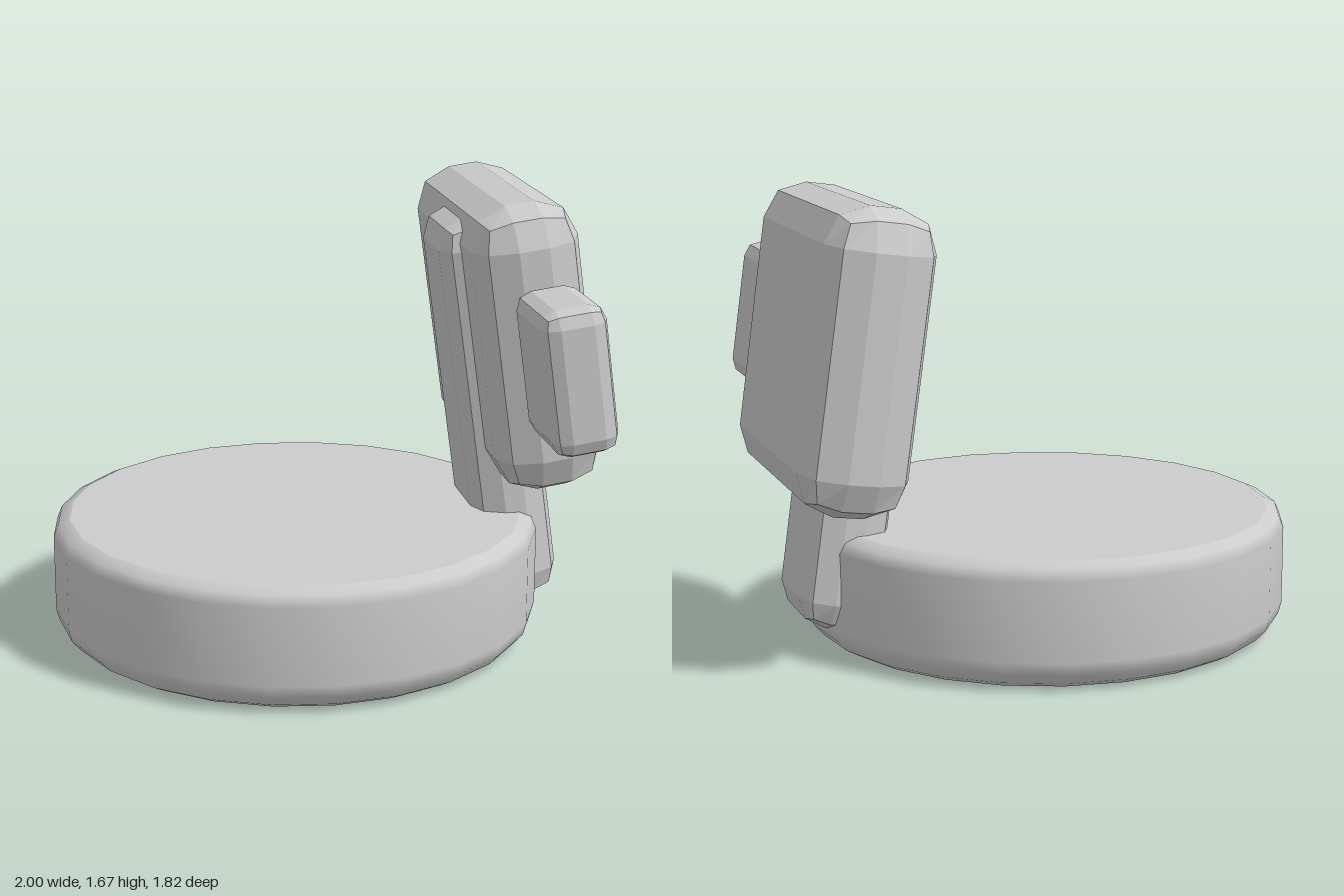
import * as THREE from 'three';
import { RoundedBoxGeometry } from 'three/addons/geometries/RoundedBoxGeometry.js';

const TILT = THREE.MathUtils.degToRad(8);

// Box with two-facet bevels, leaning towards the seat
function bevelledSlab(name, size, position, bevel) {
  const geometry = new RoundedBoxGeometry(...size, 1, bevel);
  const material = new THREE.MeshStandardMaterial({ color: 0xcccccc, flatShading: true });
  const mesh = new THREE.Mesh(geometry, material);
  mesh.name = name;
  mesh.position.set(...position);
  mesh.rotation.z = TILT;
  return mesh;
}

export function createModel() {
  const group = new THREE.Group();
  group.name = 'roundSeatWithBackrest';

  // Round cushion; doubled points keep the underside edges crisp
  const profile = [
    [0, 0], [0.82, 0], [0.82, 0], [0.865, 0.025], [0.865, 0.025], [0.9, 0.065], [0.912, 0.11],
    [0.912, 0.4], [0.895, 0.44], [0.85, 0.46], [0.85, 0.46], [0, 0.46],
  ].map(([r, y]) => new THREE.Vector2(r, y));
  const seat = new THREE.Mesh(
    new THREE.LatheGeometry(profile, 24),
    new THREE.MeshStandardMaterial({ color: 0xcccccc }),
  );
  seat.name = 'seat';
  seat.position.x = -0.088;
  group.add(seat);

  // Leaning support, back cushion and the small block on its front end
  group.add(
    bevelledSlab('backSupport', [0.3, 1.5, 0.475], [0.67, 0.838, -0.03], 0.11),
    bevelledSlab('backrest', [0.4, 1.075, 1.14], [0.745, 1.13, -0.095], 0.145),
    bevelledSlab('sideBlock', [0.238, 0.53, 0.42], [0.77, 1.125, 0.643], 0.06),
  );
  return group;
}
